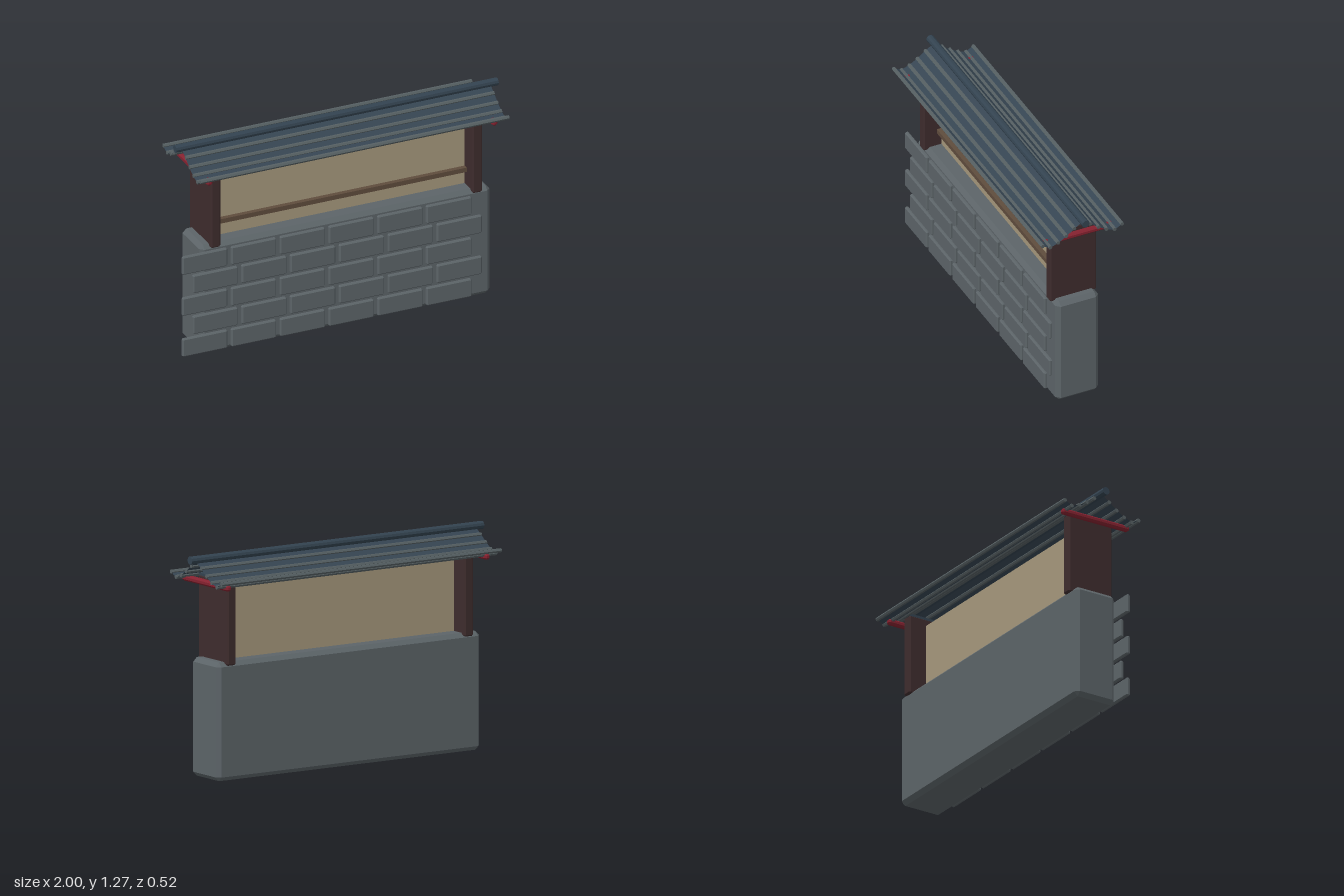
import * as THREE from 'three';
import { ConvexGeometry } from 'three/addons/geometries/ConvexGeometry.js';

const mat = (name, color, side = THREE.FrontSide) => {
  const m = new THREE.MeshStandardMaterial({ color, side });
  m.name = name;
  return m;
};

// Box with flat chamfers of size b on every edge
function chamferBox(w, h, d, b) {
  const pts = [];
  for (const sx of [-1, 1]) for (const sy of [-1, 1]) for (const sz of [-1, 1]) {
    for (let k = 0; k < 3; k++) {
      pts.push(new THREE.Vector3(
        sx * (w / 2 - (k === 0 ? 0 : b)),
        sy * (h / 2 - (k === 1 ? 0 : b)),
        sz * (d / 2 - (k === 2 ? 0 : b))));
    }
  }
  return new ConvexGeometry(pts);
}

// Sheet made of flat strips along x, following a (z, y) profile
function sheetGeometry(profile, x0, x1) {
  const pos = [];
  for (let i = 0; i < profile.length - 1; i++) {
    const [za, ya] = profile[i], [zb, yb] = profile[i + 1];
    pos.push(x0, ya, za, x0, yb, zb, x1, yb, zb, x0, ya, za, x1, yb, zb, x1, ya, za);
  }
  const g = new THREE.BufferGeometry();
  g.setAttribute('position', new THREE.Float32BufferAttribute(pos, 3));
  g.computeVertexNormals();
  return g;
}

export function createModel() {
  const group = new THREE.Group();
  group.name = 'roofedWall';
  const stone = mat('stone grey', 0x5c6468);
  const darkWood = mat('dark wood', 0x3e2c2d);
  const plaster = mat('tan plaster', 0xa6987c);
  const railWood = mat('rail brown', 0x5f4c3d);
  const red = mat('red lacquer', 0x862230);
  const tile = mat('roof slate blue', 0x364552, THREE.DoubleSide);
  const ridgeTile = mat('ridge blue', 0x334350);
  const ribTile = mat('rib grey', 0x566063);
  const cx = 0.01;

  const add = (name, geo, material, x, y, z) => {
    const m = new THREE.Mesh(geo, material);
    m.name = name;
    m.position.set(x, y, z);
    group.add(m);
    return m;
  };

  // Stone base
  add('wallBase', chamferBox(1.785, 0.672, 0.266, 0.024), stone, cx, 0.336, -0.001);

  // Staggered bricks on the front
  const brick = chamferBox(0.276, 0.112, 0.024, 0.007);
  for (let row = 0; row < 5; row++) {
    for (let i = 0; i < 6; i++) {
      const x = -0.862 + (row % 2) * 0.064 + i * 0.3;
      add('brick', brick, stone, x, 0.07 + row * 0.128, 0.137);
    }
  }

  // Plaster panel and its front rail
  add('plasterPanel', new THREE.BoxGeometry(1.56, 0.43, 0.07), plaster, cx, 0.875, 0);
  add('panelRail', new THREE.BoxGeometry(1.56, 0.027, 0.035), railWood, cx, 0.767, 0.046);

  // Posts, caps and red cross beams
  for (const s of [-1, 1]) {
    add('post', chamferBox(0.06, 0.478, 0.288, 0.008), darkWood, cx + s * 0.804, 0.892, 0);
    add('postCap', new THREE.BoxGeometry(0.054, 0.014, 0.286), ridgeTile, cx + s * 0.804, 1.134, 0);
    add('crossBeam', chamferBox(0.034, 0.034, 0.446, 0.01), red, cx + s * 0.876, 1.108, 0);
  }

  // Sweeping roof: a folded sheet on each slope with ribs on the folds
  const profile = [[0, 1.235], [0.05, 1.203], [0.1, 1.166], [0.15, 1.136], [0.2, 1.119], [0.246, 1.142]];
  const rib = new THREE.CylinderGeometry(0.012, 0.012, 1.896, 6).toNonIndexed();
  rib.rotateZ(Math.PI / 2);
  rib.computeVertexNormals();
  for (const s of [-1, 1]) {
    const side = profile.map(([z, y]) => [z * s, y]);
    if (s < 0) side.reverse();
    add('roofSheet', sheetGeometry(side, -0.938, 0.958), tile, 0, 0, 0);
    for (const [z, y] of profile.slice(1)) add('roofRib', rib, ribTile, cx, y, z * s);
  }

  // Ridge pole
  const ridge = new THREE.CylinderGeometry(0.023, 0.023, 1.98, 10).toNonIndexed();
  ridge.rotateZ(Math.PI / 2);
  ridge.computeVertexNormals();
  add('ridgePole', ridge, ridgeTile, cx, 1.245, 0);

  return group;
}
